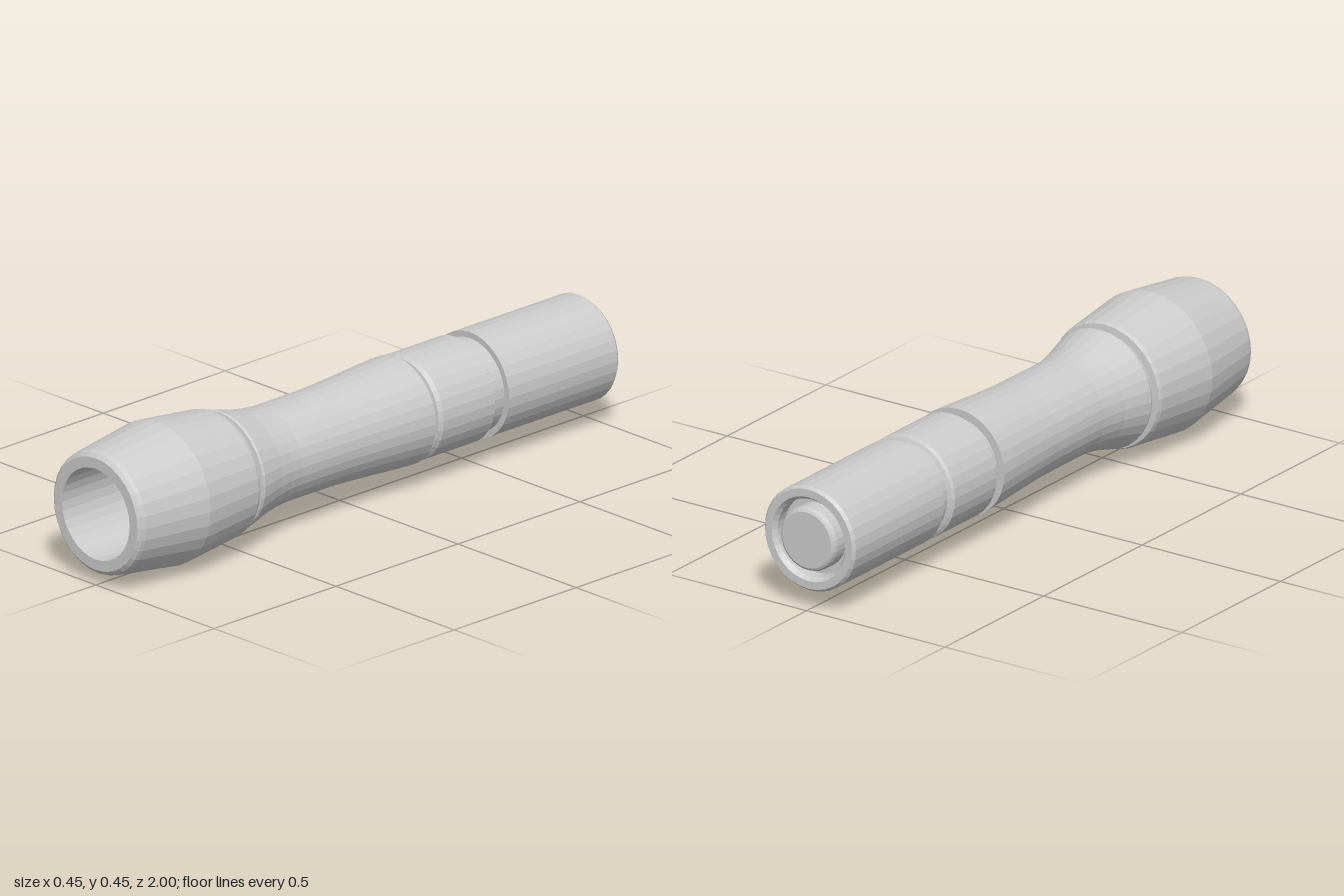
import * as THREE from 'three';

const SIDES = 32;
const AXIS_Y = 0.223;

// Turned part along z; each profile point is [radius, z], ordered back to front on outer faces
function turned(name, profile) {
  const points = profile.map(([r, z]) => new THREE.Vector2(r, z));
  const geometry = new THREE.LatheGeometry(points, SIDES);
  geometry.rotateX(Math.PI / 2);
  const material = new THREE.MeshStandardMaterial({ color: 0xcccccc, flatShading: true });
  const mesh = new THREE.Mesh(geometry, material);
  mesh.name = name;
  return mesh;
}

export function createModel() {
  const group = new THREE.Group();
  group.name = 'flashlight';

  group.add(
    // Tail cap with a round recess for the switch
    turned('tailCap', [
      [0, -0.94], [0.122, -0.94], [0.122, -0.975], [0.133, -0.99], [0.157, -0.99],
      [0.165, -0.98], [0.165, -0.535], [0.146, -0.535], [0.146, -0.51],
    ]),
    // Push button with a rounded edge
    turned('tailSwitch', [
      [0, -1], [0.088, -1], [0.095, -0.996], [0.1, -0.985], [0.1, -0.94],
    ]),
    // Short ring section between the two rear grooves
    turned('middleRing', [
      [0.146, -0.51], [0.146, -0.49], [0.157, -0.485], [0.165, -0.478],
      [0.165, -0.267], [0.155, -0.255], [0.142, -0.252], [0.142, -0.24],
    ]),
    // Waisted grip flaring into the collar
    turned('grip', [
      [0.142, -0.24], [0.142, -0.232], [0.168, -0.232], [0.165, -0.17], [0.156, -0.03],
      [0.151, 0.07], [0.15, 0.18], [0.15, 0.3], [0.154, 0.34], [0.162, 0.39],
      [0.187, 0.485], [0.185, 0.492], [0.173, 0.495], [0.173, 0.503],
    ]),
    // Barrel-shaped head with an open, hollow front
    turned('head', [
      [0.173, 0.503], [0.173, 0.51], [0.194, 0.513], [0.199, 0.525], [0.223, 0.745],
      [0.192, 0.978], [0.188, 0.99], [0.176, 1], [0.143, 1], [0.143, 0.55], [0, 0.55],
    ]),
  );
  for (const part of group.children) part.position.y = AXIS_Y;
  return group;
}
